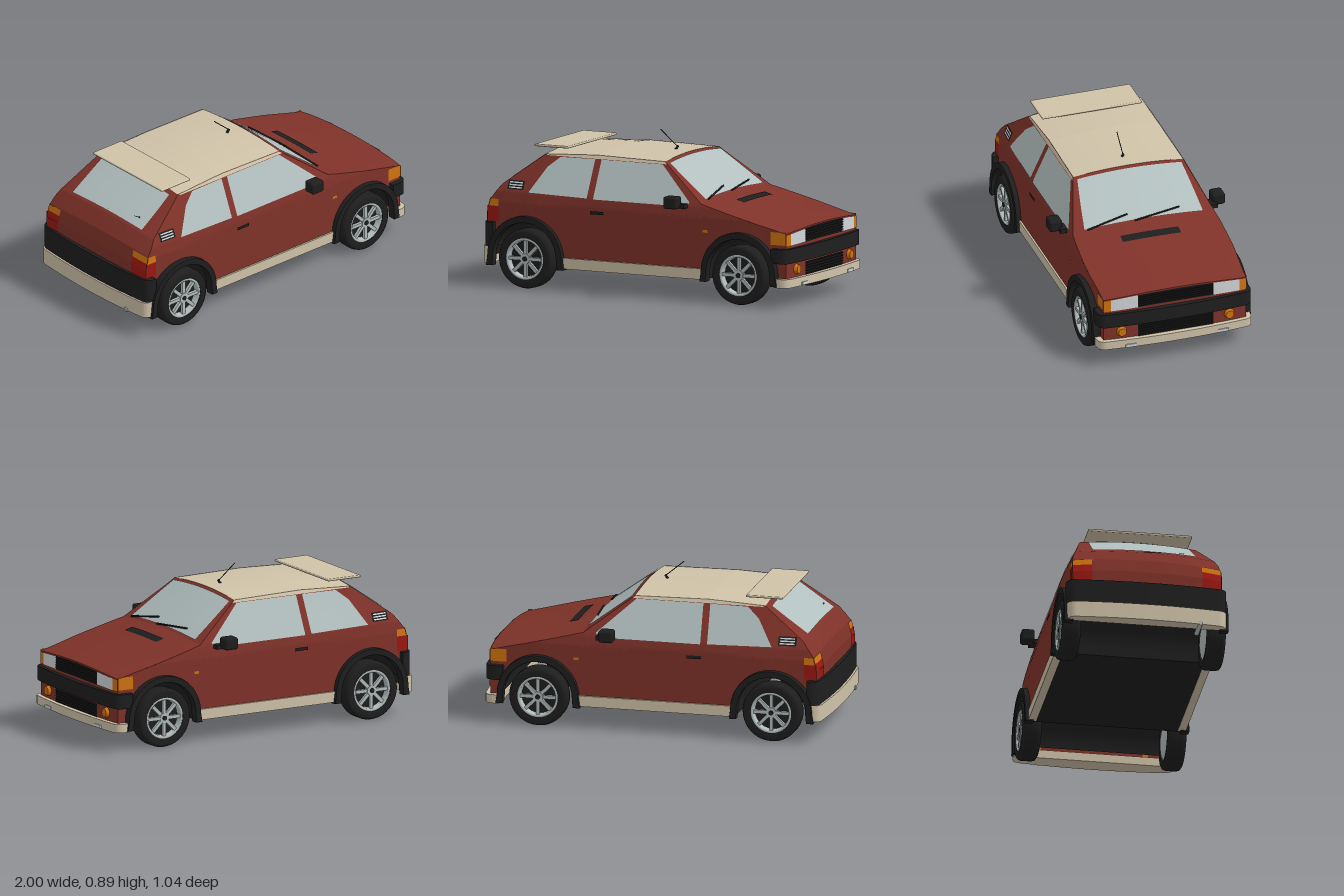
import * as THREE from 'three';
import { ParametricGeometry } from 'three/addons/geometries/ParametricGeometry.js';
import { RoundedBoxGeometry } from 'three/addons/geometries/RoundedBoxGeometry.js';

const { lerp, smoothstep } = THREE.MathUtils;
const mat = (name, color) => new THREE.MeshStandardMaterial({ name, color, side: THREE.DoubleSide });
const RED = mat('bodyRed', 0x7f3229), CREAM = mat('cream', 0xcfc2a8), BLACK = mat('black', 0x1e1e1e);
const GLASS = mat('glass', 0xb2bfbf), SILVER = mat('silver', 0xb3bcbc), ORANGE = mat('amber', 0xd0740f);
const LAMP = mat('lampRed', 0x9c1712), WHITE = mat('lampWhite', 0xd2d5d8);

// Side outline of the shell, from the front edge over the roof to the rear
const LINE = [[0.95, 0.13], [0.95, 0.42], [0.41, 0.555], [0.13, 0.765], [-0.3, 0.772],
  [-0.63, 0.757], [-0.87, 0.58], [-0.93, 0.5], [-0.95, 0.42], [-0.95, 0.13]];
const WHEELS = [0.665, -0.695], AXLE_Y = 0.175, ARCH = 0.215;

// Half width of the body at a height, narrowing to the roof and to both ends
function halfWidth(x, y) {
  const w = y < 0.48 ? 0.44 : y < 0.54 ? lerp(0.44, 0.43, (y - 0.48) / 0.06) : lerp(0.43, 0.33, (y - 0.54) / 0.22);
  return w - 0.015 * smoothstep(Math.abs(x), 0.6, 0.95);
}
function topEdge(x) {
  for (let i = 1; i < LINE.length - 2; i++) {
    const [a, b] = [LINE[i], LINE[i + 1]];
    if (x <= a[0] && x >= b[0]) return lerp(a[1], b[1], (a[0] - x) / (a[0] - b[0]));
  }
  return 0.42;
}
function bottomEdge(x) {
  for (const c of WHEELS) {
    const d = Math.abs(x - c);
    if (d < ARCH) return AXLE_Y + Math.sqrt(ARCH * ARCH - d * d);
  }
  return 0.13;
}

export function createModel() {
  const car = new THREE.Group();
  car.name = 'hatchback';
  const add = (name, geo, m, x = 0, y = 0, z = 0, parent = car) => {
    const mesh = new THREE.Mesh(geo, m);
    mesh.name = name;
    mesh.position.set(x, y, z);
    parent.add(mesh);
    return mesh;
  };
  const box = (name, m, w, h, d, x, y, z, parent) => add(name, new THREE.BoxGeometry(w, h, d), m, x, y, z, parent);
  // Crowned skin across the car between two outline points; s is the share of the half width
  const skin = (name, m, a, b, sA = [-1, 1], sB = sA, off = 0) => {
    const dx = b[0] - a[0], dy = b[1] - a[1], len = Math.hypot(dx, dy);
    add(name, new ParametricGeometry((u, v, p) => {
      const x = lerp(a[0], b[0], u), y = lerp(a[1], b[1], u);
      const s = lerp(lerp(sA[0], sB[0], u), lerp(sA[1], sB[1], u), v);
      const bow = 0.015 * smoothstep(Math.abs(x), 0.6, 0.95) * (1 - s ** 4);
      const crown = 0.02 * (1 - s * s) * smoothstep(y, 0.3, 0.42);
      p.set(x + Math.sign(x) * bow + off * dy / len, y + crown - off * dx / len, s * halfWidth(x, y));
    }, 10, 16), m);
  };
  const along = (i, t) => [0, 1].map(k => lerp(LINE[i][k], LINE[i + 1][k], t));
  // Thin plate lying on a flank, on both sides
  const sidePlate = (name, m, pts, off = 0.004) => {
    const g = new THREE.ShapeGeometry(new THREE.Shape(pts.map(p => new THREE.Vector2(...p))));
    const q = g.attributes.position;
    for (let i = 0; i < q.count; i++) q.setZ(i, halfWidth(q.getX(i), q.getY(i)) + off);
    g.computeVertexNormals();
    for (const s of [1, -1]) add(name, g, m).scale.z = s;
  };
  const rect = (x0, x1, y0, y1) => [[x0, y0], [x1, y0], [x1, y1], [x0, y1]];
  const bar = (name, m, a, b, r) => {
    const A = new THREE.Vector3(...a), B = new THREE.Vector3(...b), d = B.clone().sub(A);
    const rod = add(name, new THREE.CylinderGeometry(r, r, d.length(), 8), m);
    rod.position.copy(A).lerp(B, 0.5);
    rod.quaternion.setFromUnitVectors(new THREE.Vector3(0, 1, 0), d.normalize());
  };

  // Shell: skins over the top and both flanks with open wheel arches
  const names = ['frontPanel', 'bonnet', 'screenFrame', 'roofFront', 'roofRear', 'tailgate', 'tailLedge', 'tailUpper', 'tailPanel'];
  names.forEach((n, i) => skin(n, n.startsWith('roof') ? CREAM : RED, LINE[i], LINE[i + 1]));
  const flank = new ParametricGeometry((u, v, p) => {
    const x = lerp(-0.95, 0.95, u), y = lerp(bottomEdge(x), topEdge(x), v);
    p.set(x, y, halfWidth(x, y));
  }, 190, 24);
  for (const s of [1, -1]) add('flank', flank, RED).scale.z = s;
  sidePlate('roofRail', CREAM, [[-0.62, 0.752], [0.145, 0.752], [0.13, 0.766], [-0.3, 0.773], [-0.62, 0.759]]);
  box('floor', BLACK, 0.93, 0.12, 0.85, -0.015, 0.19, 0);
  for (const c of WHEELS) {
    add('wheelTunnel', new THREE.CylinderGeometry(ARCH, ARCH, 0.85, 32, 1, true, Math.PI / 2, Math.PI).rotateX(Math.PI / 2), BLACK, c, AXLE_Y, 0);
  }

  // Glass
  skin('windscreen', GLASS, along(2, 0.04), along(2, 0.94), [-0.84, 0.84], [-0.93, 0.93], 0.005);
  skin('rearWindow', GLASS, along(5, 0.1), along(5, 0.95), [-0.85, 0.85], [-0.75, 0.75], 0.005);
  sidePlate('doorWindow', GLASS, [[-0.275, 0.535], [0.32, 0.535], [0.335, 0.56], [0.12, 0.75], [-0.27, 0.75]]);
  sidePlate('quarterWindow', GLASS, [[-0.69, 0.545], [-0.315, 0.538], [-0.31, 0.75], [-0.53, 0.748], [-0.6, 0.69]]);

  // Flank details
  sidePlate('doorHandle', BLACK, rect(-0.285, -0.2, 0.452, 0.47), 0.008);
  sidePlate('sideRepeater', ORANGE, rect(0.43, 0.46, 0.397, 0.412));
  sidePlate('pillarVent', BLACK, rect(-0.83, -0.725, 0.555, 0.605));
  for (let i = 0; i < 3; i++) sidePlate('ventSlat', WHITE, rect(-0.82, -0.735, 0.563 + i * 0.014, 0.57 + i * 0.014), 0.007);
  sidePlate('frontIndicatorSide', ORANGE, rect(0.855, 0.95, 0.355, 0.428));
  sidePlate('tailLampSide', LAMP, rect(-0.95, -0.88, 0.37, 0.455));
  sidePlate('rearIndicatorSide', ORANGE, [[-0.942, 0.455], [-0.88, 0.455], [-0.88, 0.495], [-0.932, 0.495]]);

  // Grilles, lamps and bonnet vent
  const face = (name, m, y0, y1, s0, s1, off = 0.005) => skin(name, m, [0.95, y0], [0.95, y1], [s0, s1], [s0, s1], off);
  face('grille', BLACK, 0.347, 0.415, -0.53, 0.53);
  face('lowerGrille', BLACK, 0.165, 0.24, -0.53, 0.53);
  for (let i = 0; i < 5; i++) {
    box('grilleSlat', BLACK, 0.012, 0.006, 0.44, 0.972, 0.367 + i * 0.014, 0);
    box('lowerGrilleSlat', BLACK, 0.012, 0.006, 0.44, 0.972, 0.173 + i * 0.015, 0);
  }
  for (const s of [1, -1]) {
    face('headlight', WHITE, 0.347, 0.415, ...[0.53 * s, 0.9 * s].sort((a, b) => a - b));
    face('frontIndicator', ORANGE, 0.347, 0.415, ...[0.9 * s, s].sort((a, b) => a - b));
    add('fogLamp', new THREE.CylinderGeometry(0.024, 0.03, 0.02, 20).rotateZ(-Math.PI / 2), ORANGE, 0.97, 0.21, 0.32 * s);
    const r = [0.74 * s, s].sort((a, b) => a - b);
    skin('rearIndicator', ORANGE, along(7, 0.05), along(7, 0.5), r, r, 0.005);
    skin('tailLamp', LAMP, along(7, 0.5), along(7, 1), r, r, 0.005);
    skin('tailLampLower', LAMP, [-0.95, 0.42], [-0.95, 0.365], r, r, 0.005);
    box('lipLamp', WHITE, 0.008, 0.018, 0.065, 0.993, 0.127, 0.275 * s);
  }
  skin('bonnetVent', BLACK, [0.55, 0.52], [0.5, 0.5325], [-0.4, 0.4], [-0.4, 0.4], 0.005);

  // Bumpers: rounded plan shape raised by its height
  const bumper = (name, m, dir, xIn, xOut, h, y0, y1) => {
    const r = 0.06, s = new THREE.Shape();
    s.moveTo(xIn, -h);
    s.lineTo(xOut - 0.02 - r, -h);
    s.quadraticCurveTo(xOut - 0.02, -h, xOut - 0.02, -h + r);
    s.quadraticCurveTo(xOut + 0.02, 0, xOut - 0.02, h - r);
    s.quadraticCurveTo(xOut - 0.02, h, xOut - 0.02 - r, h);
    s.lineTo(xIn, h);
    const g = new THREE.ExtrudeGeometry(s, { depth: y1 - y0, bevelEnabled: false, curveSegments: 10 });
    g.rotateX(-Math.PI / 2);
    if (dir < 0) g.rotateY(Math.PI);
    add(name, g, m, 0, y0, 0);
  };
  bumper('frontBumper', BLACK, 1, 0.87, 0.995, 0.458, 0.252, 0.335);
  bumper('frontLip', CREAM, 1, 0.89, 1, 0.46, 0.115, 0.165);
  bumper('rearBumper', BLACK, -1, 0.9, 0.988, 0.458, 0.225, 0.365);
  bumper('rearValance', CREAM, -1, 0.92, 1, 0.455, 0.13, 0.225);
  bar('exhaustPipe', SILVER, [-0.85, 0.135, 0.3], [-0.995, 0.135, 0.3], 0.014);

  // Flared arches, sills and mirrors
  const arch = new THREE.Shape();
  arch.moveTo(0.245, -0.055);
  arch.lineTo(0.237, 0);
  arch.absarc(0, 0, 0.237, 0, Math.PI, false);
  arch.lineTo(-0.245, -0.055);
  arch.lineTo(-0.205, -0.055);
  arch.lineTo(-0.2, 0);
  arch.absarc(0, 0, 0.2, Math.PI, 0, true);
  arch.lineTo(0.205, -0.055);
  const archGeo = new THREE.ExtrudeGeometry(arch, { depth: 0.042, curveSegments: 28, bevelSize: 0.005, bevelThickness: 0.005, bevelOffset: -0.005, bevelSegments: 2 });
  for (const s of [1, -1]) {
    for (const c of WHEELS) add('wheelArch', archGeo, BLACK, c, AXLE_Y, 0.423 * s).scale.z = s;
    box('sill', CREAM, 0.9, 0.062, 0.045, -0.015, 0.159, 0.428 * s);
    add('mirror', new RoundedBoxGeometry(0.085, 0.07, 0.075, 3, 0.014), BLACK, 0.257, 0.562, 0.485 * s);
    box('mirrorArm', BLACK, 0.07, 0.025, 0.06, 0.29, 0.54, 0.44 * s);
  }

  // Spoiler, aerial and wipers
  add('spoiler', new RoundedBoxGeometry(0.215, 0.014, 0.595, 2, 0.006), CREAM, -0.613, 0.797, 0);
  bar('aerial', BLACK, [0.04, 0.8, 0], [-0.07, 0.892, 0], 0.0025);
  bar('aerialBase', BLACK, [0.025, 0.785, 0], [0.04, 0.806, 0], 0.007);
  bar('wiperLeft', BLACK, [0.41, 0.574, 0.335], [0.376, 0.615, 0.09], 0.005);
  bar('wiperRight', BLACK, [0.412, 0.587, 0.055], [0.376, 0.608, -0.22], 0.005);
  bar('rearWiper', BLACK, [-0.865, 0.613, 0], [-0.823, 0.636, 0.23], 0.005);

  // Wheels: tyre, dished rim with eight spokes, domed back
  const tyre = new THREE.LatheGeometry([[0.118, -0.052], [0.15, -0.055], [0.165, -0.046], [0.17, -0.03],
    [0.17, 0.03], [0.165, 0.046], [0.15, 0.055], [0.118, 0.05]].map(p => new THREE.Vector2(...p)), 40).rotateX(Math.PI / 2);
  const rim = new THREE.LatheGeometry([[0.12, 0.046], [0.113, 0.052], [0.104, 0.046], [0.1, 0.01]]
    .map(p => new THREE.Vector2(...p)), 40).rotateX(Math.PI / 2);
  const disc = (r, d) => new THREE.CylinderGeometry(r, r, d, 32).rotateX(Math.PI / 2);
  for (const c of WHEELS) for (const s of [1, -1]) {
    const wheel = new THREE.Group();
    wheel.name = 'wheel';
    wheel.position.set(c, 0.17, 0.414 * s);
    wheel.scale.z = s;
    car.add(wheel);
    add('tyre', tyre, BLACK, 0, 0, 0, wheel);
    add('rim', rim, SILVER, 0, 0, 0, wheel);
    add('rimBack', disc(0.118, 0.01), BLACK, 0, 0, 0.01, wheel);
    add('wheelDome', new THREE.SphereGeometry(0.119, 28, 14).scale(1, 1, 0.25), SILVER, 0, 0, -0.038, wheel);
    add('hub', disc(0.03, 0.03), SILVER, 0, 0, 0.034, wheel);
    add('hubCap', disc(0.014, 0.006), BLACK, 0, 0, 0.05, wheel);
    for (let i = 0; i < 8; i++) {
      const a = i * Math.PI / 4;
      box('spoke', SILVER, 0.09, 0.02, 0.018, 0.065 * Math.cos(a), 0.065 * Math.sin(a), 0.036, wheel).rotation.z = a;
    }
  }
  return car;
}
